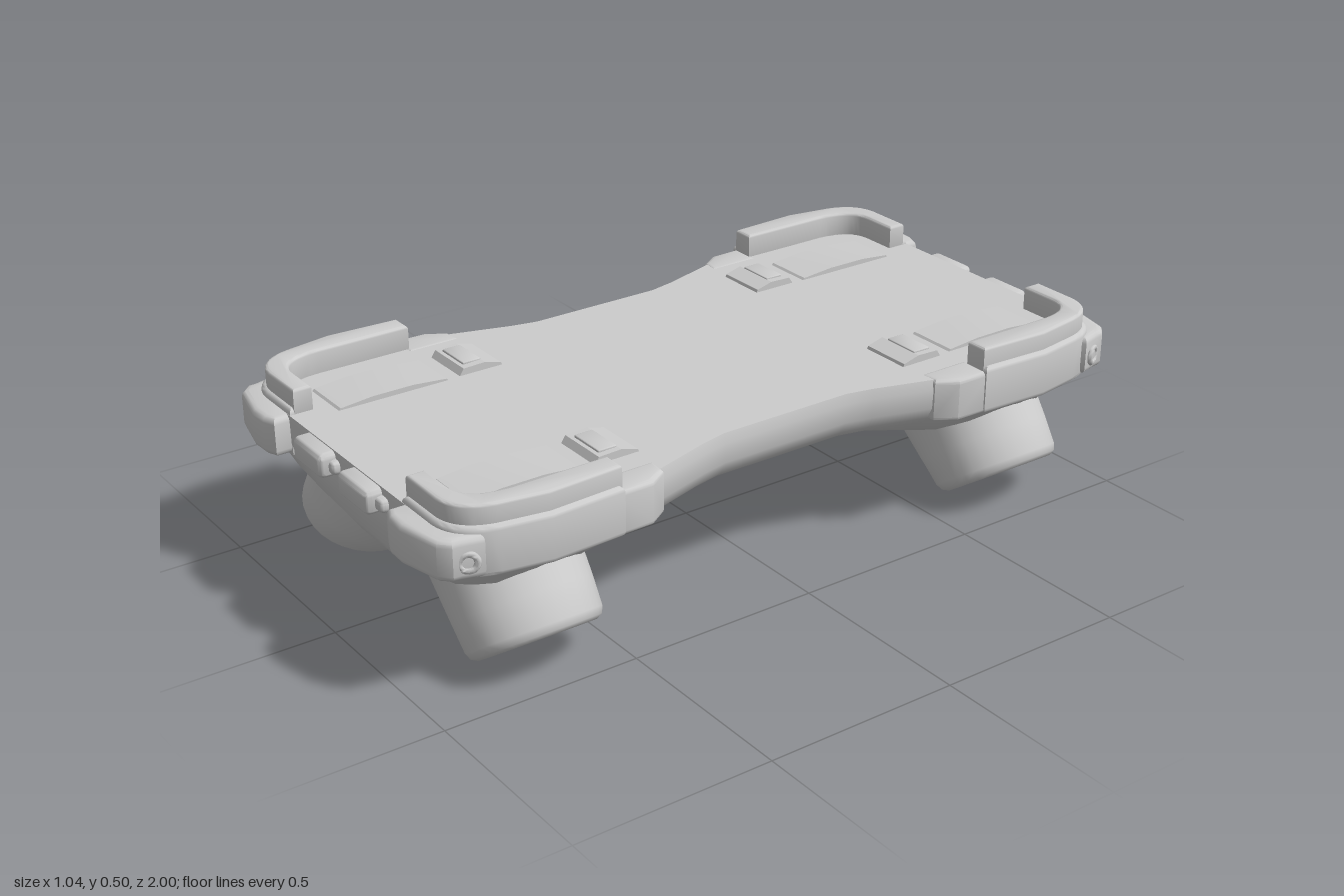
import * as THREE from 'three';
import { toCreasedNormals } from 'three/addons/utils/BufferGeometryUtils.js';
import { RoundedBoxGeometry } from 'three/addons/geometries/RoundedBoxGeometry.js';

const TOP = 0.445;
const lerp = THREE.MathUtils.lerp;

// Copy of a geometry mirrored in x and/or z, winding kept outward
function mirrored(geo, sx, sz, crease) {
  const g = (geo.index ? geo.toNonIndexed() : geo.clone()).scale(sx, 1, sz);
  const p = g.attributes.position;
  if (sx * sz < 0) {
    for (let i = 0; i < p.count; i += 3) {
      const a = new THREE.Vector3().fromBufferAttribute(p, i);
      p.setXYZ(i, p.getX(i + 2), p.getY(i + 2), p.getZ(i + 2));
      p.setXYZ(i + 2, a.x, a.y, a.z);
    }
  }
  return toCreasedNormals(g, crease);
}

// Plan outline (x, z) raised between y0 and y1 with rounded edges
function slab(shape, y0, y1, b) {
  return new THREE.ExtrudeGeometry(shape, {
    depth: y1 - y0 - 2 * b, bevelThickness: b, bevelSize: b, bevelOffset: -b, bevelSegments: 3, curveSegments: 10,
  }).rotateX(Math.PI / 2).translate(0, y1 - b, 0);
}

// Side outline (z, y) extruded across x
function strip(points, x0, x1) {
  const shape = new THREE.Shape(points.map(([z, y]) => new THREE.Vector2(z, y)));
  return new THREE.ExtrudeGeometry(shape, { depth: x1 - x0, bevelEnabled: false }).rotateY(-Math.PI / 2).translate(x1, 0, 0);
}

const polygon = (pts) => new THREE.Shape(pts.map(([x, z]) => new THREE.Vector2(x, z)));

// L-shaped corner outline; d insets the outer edge
function cornerShape(d) {
  const s = new THREE.Shape();
  s.moveTo(0.265, 0.945 - d);
  s.lineTo(0.39, 0.945 - d);
  s.quadraticCurveTo(0.48 - d, 0.94 - d, 0.5 - d, 0.84);
  s.lineTo(0.52 - d, 0.72);
  s.lineTo(0.51 - d, 0.53);
  s.lineTo(0.44, 0.53);
  s.lineTo(0.44, 0.78);
  s.quadraticCurveTo(0.435, 0.885, 0.36, 0.885);
  s.lineTo(0.265, 0.885);
  s.closePath();
  return s;
}

// Hull stations: z, half width, keel height, lowest allowed height
const half = [
  [0, 0.4, 0.275, 0], [0.18, 0.4, 0.27, 0], [0.25, 0.415, 0.26, 0], [0.4, 0.46, 0.21, 0], [0.53, 0.48, 0.16, 0],
  [0.63, 0.49, 0.135, 0], [0.72, 0.495, 0.13, 0], [0.8, 0.49, 0.145, 0], [0.86, 0.475, 0.19, 0],
  [0.91, 0.45, 0.26, 0], [0.935, 0.42, 0.32, 0.33], [0.945, 0.4, 0.36, 0.37], [0.946, 0.4, 0.4, TOP],
];
const stations = [...half.slice(1).reverse().map(([z, ...r]) => [-z, ...r]), ...half];

function hullGeometry() {
  const pos = [], idx = [];
  let n = 0;
  for (const [z, w, keel, floor] of stations) {
    const y = (t) => lerp(0.325, keel, t);
    const side = [[w, TOP], [w + 0.006, 0.42], [w + 0.004, 0.37], [w - 0.01, 0.34], [w - 0.03, 0.322],
      [w - 0.08, y(0.35)], [w * 0.7, y(0.6)], [w * 0.45, y(0.85)], [w * 0.2, keel]];
    const ring = [...side, ...side.slice().reverse().map(([x, v]) => [-x, v])];
    n = ring.length;
    ring.forEach(([x, v]) => pos.push(x, Math.max(v, floor), z));
  }
  for (let i = 0; i < stations.length - 1; i++) {
    for (let j = 0; j < n - 1; j++) {
      const a = i * n + j, b = a + n;
      idx.push(a, b, a + 1, b, b + 1, a + 1);
    }
  }
  const g = new THREE.BufferGeometry();
  g.setAttribute('position', new THREE.Float32BufferAttribute(pos, 3));
  g.setIndex(idx);
  return toCreasedNormals(g, 0.9);
}

// Thruster pod: lathe with a recessed nozzle, flared toward the keel
function podGeometry() {
  const profile = [[0.146, -0.3], [0.146, -0.2], [0.146, -0.1], [0.144, -0.025], [0.138, -0.008], [0.125, 0],
    [0.1, 0], [0.085, -0.01], [0.075, -0.035], [0.06, -0.06], [0, -0.065]];
  const g = new THREE.LatheGeometry(profile.map(([r, y]) => new THREE.Vector2(r, y)), 32);
  const p = g.attributes.position;
  for (let i = 0; i < p.count; i++) {
    const x = p.getX(i), y = p.getY(i);
    if (x < 0 && Math.hypot(x, p.getZ(i)) > 0.12) p.setX(i, x * (1 - y * 3));
    p.setZ(i, p.getZ(i) * 1.15);
  }
  // local +y becomes the outward-down axis, local +x the outward-up side
  const m = new THREE.Matrix4().makeBasis(
    new THREE.Vector3(0.82, 0.57, 0), new THREE.Vector3(0.57, -0.82, 0), new THREE.Vector3(0, 0, -1));
  return g.applyMatrix4(m).translate(0.405, 0.082, 0.7);
}

export function createModel() {
  const model = new THREE.Group();
  const mat = new THREE.MeshStandardMaterial({ color: 0xcccccc });
  const add = (geo, name, parent = model) => {
    const mesh = new THREE.Mesh(geo, mat);
    mesh.name = name;
    parent.add(mesh);
  };

  // Body
  add(hullGeometry(), 'hull');
  const outline = [...stations.map(([z, w]) => [w, z]), ...stations.slice().reverse().map(([z, w]) => [-w, z])];
  add(new THREE.ShapeGeometry(polygon(outline)).rotateX(-Math.PI / 2).translate(0, TOP, 0), 'deck');

  // Parts of one corner, repeated on all four
  const boltTurn = 1.1;
  const corner = [
    ['thrusterPod', podGeometry(), 0.9],
    ['cornerBumper', slab(cornerShape(0), 0.335, 0.46, 0.014), 0.6],
    ['cornerRail', slab(cornerShape(0.012), 0.43, 0.507, 0.008), 0.6],
    ['bumperNose', slab(polygon([[0.268, 0.9], [0.268, 0.985], [0.3, 0.998], [0.35, 1], [0.46, 0.975],
      [0.485, 0.95], [0.487, 0.93], [0.5, 0.88], [0.47, 0.86]]), 0.345, 0.445, 0.016), 0.6],
    ['sideBlock', slab(polygon([[0.42, 0.395], [0.47, 0.4], [0.503, 0.45], [0.506, 0.54], [0.42, 0.54]]),
      0.335, 0.447, 0.012), 0.6],
    ['bolt', new THREE.TorusGeometry(0.02, 0.008, 8, 20).rotateY(boltTurn).translate(0.489, 0.388, 0.915), 1],
    ['footPad', strip([[0.54, 0.44], [0.55, 0.45], [0.64, 0.458], [0.75, 0.458], [0.835, 0.45], [0.845, 0.44]],
      0.222, 0.357), 0.3],
    ['latch', strip([[0.39, 0.44], [0.395, 0.452], [0.44, 0.464], [0.5, 0.462], [0.515, 0.44]], 0.225, 0.362), 0.2],
    ['latchPlate', new RoundedBoxGeometry(0.1, 0.008, 0.05, 2, 0.003).translate(0.295, 0.464, 0.465), 0.6],
    ['endLamp', new RoundedBoxGeometry(0.138, 0.062, 0.07, 3, 0.016).translate(0.108, 0.411, 0.952), 0.6],
    ['lampMount', new RoundedBoxGeometry(0.185, 0.034, 0.04, 2, 0.012).translate(0.112, 0.408, 0.945), 0.6],
  ];
  for (const sz of [1, -1]) {
    for (const sx of [1, -1]) {
      const group = new THREE.Group();
      group.name = (sz > 0 ? 'front' : 'back') + (sx > 0 ? 'Left' : 'Right') + 'Corner';
      for (const [name, geo, crease] of corner) add(mirrored(geo, sx, sz, crease), name, group);
      model.add(group);
    }
  }
  return model;
}
